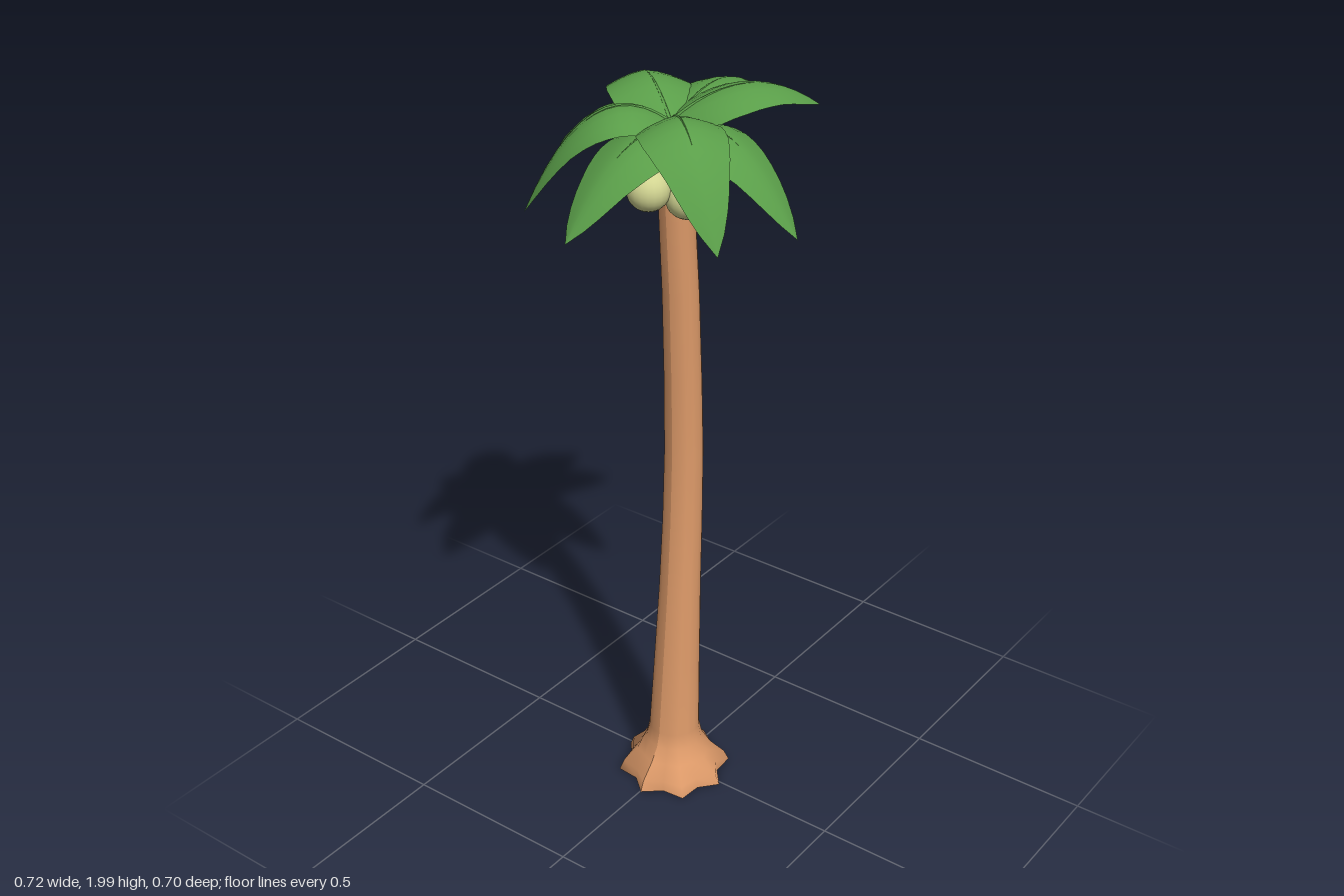
import * as THREE from 'three';

const bark = new THREE.MeshStandardMaterial({ color: 0xdd9a69, side: THREE.DoubleSide });
bark.name = 'bark';
const leafGreen = new THREE.MeshStandardMaterial({ color: 0x5a9e49, side: THREE.DoubleSide });
leafGreen.name = 'leafGreen';
const nutGreen = new THREE.MeshStandardMaterial({ color: 0xd2d592 });
nutGreen.name = 'nutGreen';

function named(name, geometry, material) {
  const mesh = new THREE.Mesh(geometry, material);
  mesh.name = name;
  return mesh;
}

// Linear lookup in a list of [key, value] pairs
function lookup(table, k) {
  for (let i = 1; i < table.length; i++) {
    const [k0, v0] = table[i - 1], [k1, v1] = table[i];
    if (k <= k1) return v0 + (v1 - v0) * Math.max(0, (k - k0) / (k1 - k0));
  }
  return table[table.length - 1][1];
}

// Bent trunk with eight pointed root lobes at its foot
function makeTrunk() {
  const profile = [
    [0.155, 0], [0.142, 0.03], [0.103, 0.07], [0.078, 0.11], [0.069, 0.15],
    [0.063, 0.35], [0.056, 0.6], [0.053, 0.8], [0.051, 1.0], [0.049, 1.2],
    [0.047, 1.45], [0.045, 1.7], [0.044, 1.8], [0.03, 1.86], [0.01, 1.905], [0.001, 1.91],
  ].map(([r, y]) => new THREE.Vector2(r, y));
  const geo = new THREE.LatheGeometry(profile, 16);
  const bend = new THREE.SplineCurve([[0, 0.01], [0.15, 0.01], [0.6, -0.016], [1, -0.032],
    [1.45, -0.018], [1.7, 0], [1.91, 0.02]].map(([y, z]) => new THREE.Vector2(y, z)));
  const bendTable = bend.getPoints(60).map((p) => [p.x, p.y]);
  const pos = geo.attributes.position;
  for (let i = 0; i < pos.count; i++) {
    const y = pos.getY(i);
    const angle = Math.atan2(pos.getX(i), pos.getZ(i));
    const notch = 0.2 * Math.max(0, 1 - y / 0.12) * (0.5 - 0.5 * Math.cos(8 * angle));
    pos.setX(i, pos.getX(i) * (1 - notch) + 0.003);
    pos.setZ(i, pos.getZ(i) * (1 - notch) + lookup(bendTable, y));
  }
  geo.computeVertexNormals();
  return named('trunk', geo, bark);
}

// Broad drooping leaf swept along a curve, plus its midrib
const halfWidth = [[0, 0.012], [0.1, 0.07], [0.22, 0.104], [0.4, 0.104], [0.55, 0.092],
  [0.8, 0.057], [0.92, 0.028], [1, 0]];

function makeLeaf(root, mid, tip) {
  const group = new THREE.Group();
  group.name = 'leaf';
  const a = new THREE.Vector3(...root), m = new THREE.Vector3(...mid), b = new THREE.Vector3(...tip);
  // control point that makes the curve pass through mid
  const control = m.clone().multiplyScalar(2).addScaledVector(a, -0.5).addScaledVector(b, -0.5);
  const curve = new THREE.QuadraticBezierCurve3(a, control, b);
  const side = new THREE.Vector3(b.z - a.z, 0, a.x - b.x).normalize();
  const rows = 12, cols = 6;
  const verts = [], index = [];
  for (let i = 0; i <= rows; i++) {
    const u = i / rows, w = lookup(halfWidth, u);
    for (let j = 0; j <= cols; j++) {
      const v = (2 * j) / cols - 1;
      const p = curve.getPoint(u).addScaledVector(side, v * w);
      p.y -= 0.35 * w * Math.abs(v) ** 1.5;
      verts.push(p.x, p.y, p.z);
      if (i < rows && j < cols) {
        const k = i * (cols + 1) + j, n = k + cols + 1;
        index.push(k, k + 1, n, k + 1, n + 1, n);
      }
    }
  }
  const geo = new THREE.BufferGeometry();
  geo.setAttribute('position', new THREE.Float32BufferAttribute(verts, 3));
  geo.setIndex(index);
  geo.computeVertexNormals();
  group.add(named('leafBlade', geo, leafGreen));

  // tapering midrib along the inner part of the leaf
  const ribPoints = [0, 0.15, 0.3, 0.45, 0.55].map((u) => curve.getPoint(u));
  const ribCurve = new THREE.CatmullRomCurve3(ribPoints);
  const rib = new THREE.TubeGeometry(ribCurve, 8, 0.005, 5);
  const pos = rib.attributes.position, q = new THREE.Vector3();
  for (let i = 0; i < pos.count; i++) {
    const u = Math.floor(i / 6) / 8;
    q.fromBufferAttribute(pos, i).lerp(ribCurve.getPointAt(u), u * 0.95);
    pos.setXYZ(i, q.x, q.y, q.z);
  }
  rib.computeVertexNormals();
  group.add(named('leafRib', rib, leafGreen));
  return group;
}

export function createModel() {
  const palm = new THREE.Group();
  palm.name = 'palmTree';
  palm.add(makeTrunk());

  // Coconuts under the crown
  const nuts = [[-0.057, 1.785, -0.05], [0.06, 1.775, -0.055], [0.06, 1.735, 0.035], [-0.005, 1.76, 0.1]];
  for (const p of nuts) {
    const nut = named('coconut', new THREE.SphereGeometry(0.054, 20, 14), nutGreen);
    nut.position.set(...p);
    palm.add(nut);
  }

  // Upper diagonal leaves: middle and tip of each
  const upper = [
    [[0.12, 1.985, -0.118], [0.225, 1.91, -0.275]],
    [[-0.155, 1.97, -0.085], [-0.29, 1.815, -0.21]],
    [[-0.127, 1.93, 0.15], [-0.26, 1.69, 0.255]],
    [[0.147, 1.935, 0.145], [0.285, 1.705, 0.225]],
  ];
  for (const [mid, tip] of upper) palm.add(makeLeaf([0, 1.905, 0.02], mid, tip));

  // Lower leaves along the axes
  const lower = [
    [[0, 1.955, -0.17], [0.005, 1.875, -0.355]],
    [[0.18, 1.9, 0.022], [0.355, 1.69, 0.005]],
    [[-0.18, 1.91, 0.025], [-0.36, 1.73, 0]],
    [[-0.022, 1.87, 0.18], [-0.06, 1.69, 0.345]],
  ];
  for (const [mid, tip] of lower) palm.add(makeLeaf([0, 1.885, 0.02], mid, tip));

  return palm;
}
